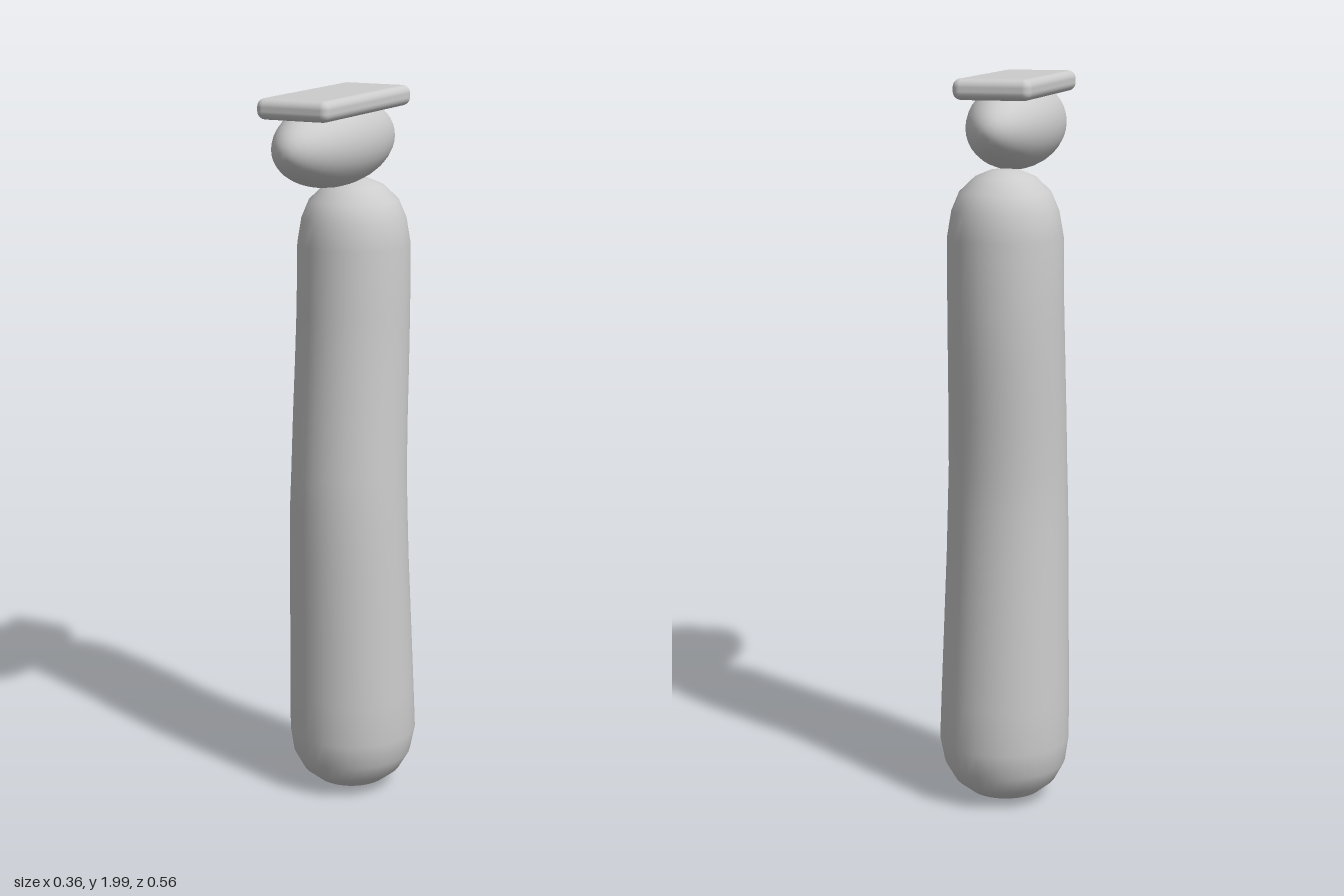
import * as THREE from 'three';
import { RoundedBoxGeometry } from 'three/addons/geometries/RoundedBoxGeometry.js';

// Closed smooth loft through elliptical rings: [y, centreX, centreZ, radiusX, radiusZ]
function loft(rings, sides) {
  const pos = [], index = [];
  for (const [y, cx, cz, rx, rz] of rings) {
    for (let i = 0; i < sides; i++) {
      const a = (i / sides) * Math.PI * 2;
      pos.push(cx + Math.sin(a) * rx, y, cz + Math.cos(a) * rz);
    }
  }
  for (let r = 0; r < rings.length - 1; r++) {
    for (let i = 0; i < sides; i++) {
      const a = r * sides + i, b = r * sides + (i + 1) % sides;
      index.push(a, b, b + sides, a, b + sides, a + sides);
    }
  }
  // End caps
  const first = rings[0], last = rings[rings.length - 1];
  const bottom = pos.length / 3, top = bottom + 1;
  pos.push(first[1], first[0] - 0.004, first[2], last[1], last[0] + 0.004, last[2]);
  const topStart = (rings.length - 1) * sides;
  for (let i = 0; i < sides; i++) {
    const j = (i + 1) % sides;
    index.push(bottom, j, i, top, topStart + i, topStart + j);
  }
  const geo = new THREE.BufferGeometry();
  geo.setAttribute('position', new THREE.Float32BufferAttribute(pos, 3));
  geo.setIndex(index);
  geo.computeVertexNormals();
  return geo;
}

export function createModel() {
  const model = new THREE.Group();
  const grey = new THREE.MeshStandardMaterial({ color: 0xcccccc });
  grey.name = 'plain grey';

  const add = (name, geometry, x = 0, y = 0, z = 0) => {
    const mesh = new THREE.Mesh(geometry, grey);
    mesh.name = name;
    mesh.position.set(x, y, z);
    model.add(mesh);
    return mesh;
  };

  // Tall, gently bent column with rounded ends
  add('column', loft([
    [0.010, -0.005, -0.090, 0.050, 0.050],
    [0.028, -0.004, -0.090, 0.100, 0.100],
    [0.060, -0.003, -0.090, 0.140, 0.140],
    [0.110, -0.002, -0.090, 0.168, 0.168],
    [0.180, 0.000, -0.090, 0.180, 0.180],
    [0.300, -0.002, -0.088, 0.178, 0.177],
    [0.500, -0.004, -0.083, 0.173, 0.172],
    [0.700, -0.006, -0.078, 0.168, 0.167],
    [0.850, -0.007, -0.076, 0.165, 0.164],
    [0.950, -0.008, -0.080, 0.162, 0.161],
    [1.100, -0.009, -0.089, 0.160, 0.160],
    [1.250, -0.010, -0.101, 0.158, 0.160],
    [1.400, -0.010, -0.109, 0.156, 0.160],
    [1.580, -0.010, -0.112, 0.155, 0.157],
    [1.650, -0.010, -0.112, 0.143, 0.147],
    [1.700, -0.010, -0.112, 0.122, 0.125],
    [1.740, -0.010, -0.112, 0.080, 0.082],
    [1.757, -0.010, -0.112, 0.040, 0.040],
  ], 32));

  // Long rounded head lying front to back, tips along z
  const head = new THREE.SphereGeometry(1, 32, 20);
  head.rotateX(Math.PI / 2);
  head.scale(0.118, 0.118, 0.279);
  add('head', head, -0.012, 1.868, 0);

  // Flat board with softened edges on top
  add('topBoard', new RoundedBoxGeometry(0.21, 0.055, 0.512, 3, 0.022), -0.011, 1.9725, -0.005);

  return model;
}
